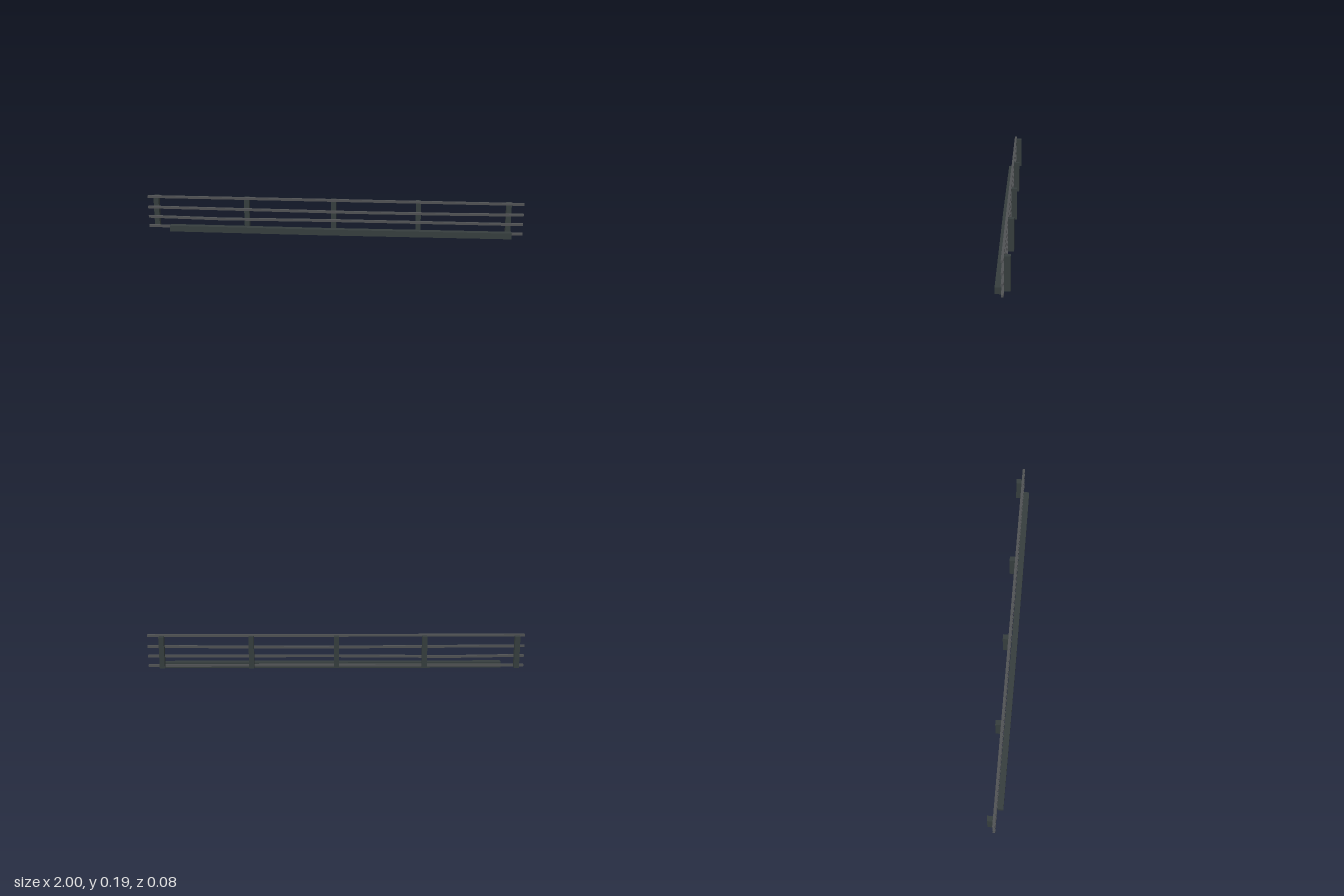
import * as THREE from 'three';

const railMaterial = new THREE.MeshStandardMaterial({ name: 'grey rail', color: 0x505254 });
const timberMaterial = new THREE.MeshStandardMaterial({ name: 'dark timber', color: 0x363e3e });

// Square beam that follows stations of [x, y, z] along its length
function beam(name, stations, height, depth, material) {
  const n = stations.length - 1;
  const box = new THREE.BoxGeometry(n, height, depth, n, 1, 1);
  const pos = box.attributes.position;
  for (let i = 0; i < pos.count; i++) {
    const [x, y, z] = stations[Math.round(pos.getX(i) + n / 2)];
    pos.setXYZ(i, x, pos.getY(i) + y, pos.getZ(i) + z);
  }
  const geometry = box.toNonIndexed();
  geometry.computeVertexNormals();
  const mesh = new THREE.Mesh(geometry, material);
  mesh.name = name;
  return mesh;
}

export function createModel() {
  const fence = new THREE.Group();
  fence.name = 'railFence';

  // Four rails, the middle two sagging slightly
  const railZ = -0.002;
  const rails = {
    bottomRail: [[-1, 0.019], [1, 0.019]],
    lowerRail: [[-1, 0.072], [-0.6, 0.066], [0, 0.071], [1, 0.072]],
    upperRail: [[-1, 0.125], [-0.47, 0.122], [0.1, 0.119], [0.6, 0.121], [1, 0.125]],
    topRail: [[-1, 0.184], [1, 0.184]],
  };
  for (const [name, path] of Object.entries(rails)) {
    fence.add(beam(name, path.map(([x, y]) => [x, y, railZ]), 0.0125, 0.0125, railMaterial));
  }

  // Posts behind the rails
  [-0.958, -0.468, -0.002, 0.449, 0.923].forEach((x, i) => {
    const post = new THREE.Mesh(new THREE.BoxGeometry(0.027, 0.171, 0.029), timberMaterial);
    post.name = `post${i + 1}`;
    post.position.set(x, 0.0985, -0.0228);
    fence.add(post);
  });

  // Heavy ground beam in front, bowed a touch along its length
  fence.add(beam('groundBeam',
    [[-0.88, 0.0175, 0.0205], [-0.05, 0.016, 0.0225], [0.94, 0.0175, 0.0195]],
    0.032, 0.031, timberMaterial));

  return fence;
}
